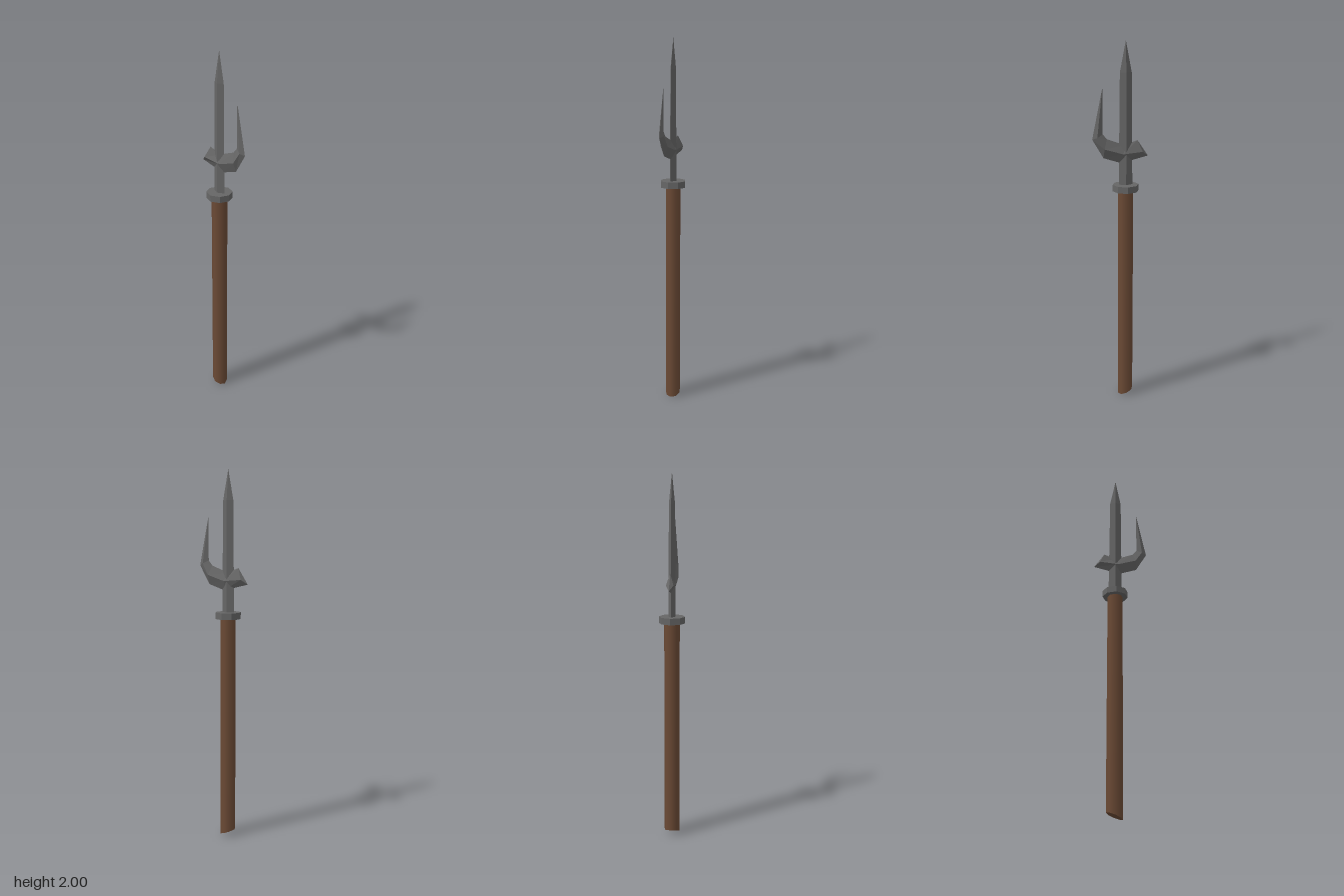
import * as THREE from 'three';

const AXIS = -0.03; // the shaft stands slightly to the right of centre

const metal = new THREE.MeshStandardMaterial({ color: 0x666666, flatShading: true });
const wood = new THREE.MeshStandardMaterial({ color: 0x6b4a35 });

// Skin four-cornered sections; each is [edgeA, ridge, edgeB] as x,y pairs plus the ridge depth
function loftDiamond(sections) {
  const pos = [];
  const idx = [];
  for (const [ax, ay, mx, my, bx, by, depth] of sections) {
    pos.push(ax, ay, 0, mx, my, depth, bx, by, 0, mx, my, -depth);
  }
  for (let i = 0; i < sections.length - 1; i++) {
    for (let j = 0; j < 4; j++) {
      const a = i * 4 + j;
      const b = i * 4 + (j + 1) % 4;
      idx.push(a, b, a + 4, b, b + 4, a + 4);
    }
  }
  idx.push(0, 2, 1, 0, 3, 2);
  const geo = new THREE.BufferGeometry();
  geo.setAttribute('position', new THREE.Float32BufferAttribute(pos, 3));
  geo.setIndex(idx);
  geo.computeVertexNormals();
  return geo;
}

function addMesh(group, name, geometry, material) {
  const mesh = new THREE.Mesh(geometry, material);
  mesh.name = name;
  group.add(mesh);
  return mesh;
}

// Eight-sided pole whose foot is cut at a slant
function shaftGeometry() {
  const radius = 0.042;
  const top = 1.23;
  const slope = 0.4;
  const geo = new THREE.CylinderGeometry(radius, radius, top, 8);
  geo.translate(0, top / 2, 0);
  const p = geo.attributes.position;
  const n = geo.attributes.normal;
  const cut = new THREE.Vector3(-slope, -1, 0).normalize();
  for (let i = 0; i < p.count; i++) {
    if (p.getY(i) < 0.01) p.setY(i, slope * (radius - p.getX(i)));
    if (n.getY(i) < -0.9) n.setXYZ(i, cut.x, cut.y, cut.z);
  }
  return geo;
}

export function createModel() {
  const model = new THREE.Group();
  model.name = 'polearm';

  addMesh(model, 'shaft', shaftGeometry(), wood).position.x = AXIS;

  const collar = addMesh(model, 'collar', new THREE.CylinderGeometry(0.07, 0.07, 0.035, 8), metal);
  collar.position.set(AXIS, 1.236, 0);

  // Spear blade: height, half width, half thickness
  const blade = [
    [1.23, 0.037, 0.019],
    [1.84, 0.031, 0.016],
    [2.0, 0, 0],
  ].map(([y, w, d]) => [AXIS - w, y, AXIS, y, AXIS + w, y, d]);
  addMesh(model, 'spearBlade', loftDiamond(blade), metal);

  // Cross bar from the chisel-shaped beak round to the upright hook
  const hook = [
    [-0.093, 1.49, -0.118, 1.43, -0.15, 1.405, 0.02],
    [-0.025, 1.465, -0.015, 1.42, -0.005, 1.37, 0.02],
    [0.07, 1.5, 0.085, 1.45, 0.088, 1.4, 0.02],
    [0.092, 1.527, 0.122, 1.51, 0.147, 1.5, 0.014],
    [0.092, 1.765, 0.092, 1.765, 0.092, 1.765, 0],
  ];
  addMesh(model, 'sideHook', loftDiamond(hook), metal);

  return model;
}
